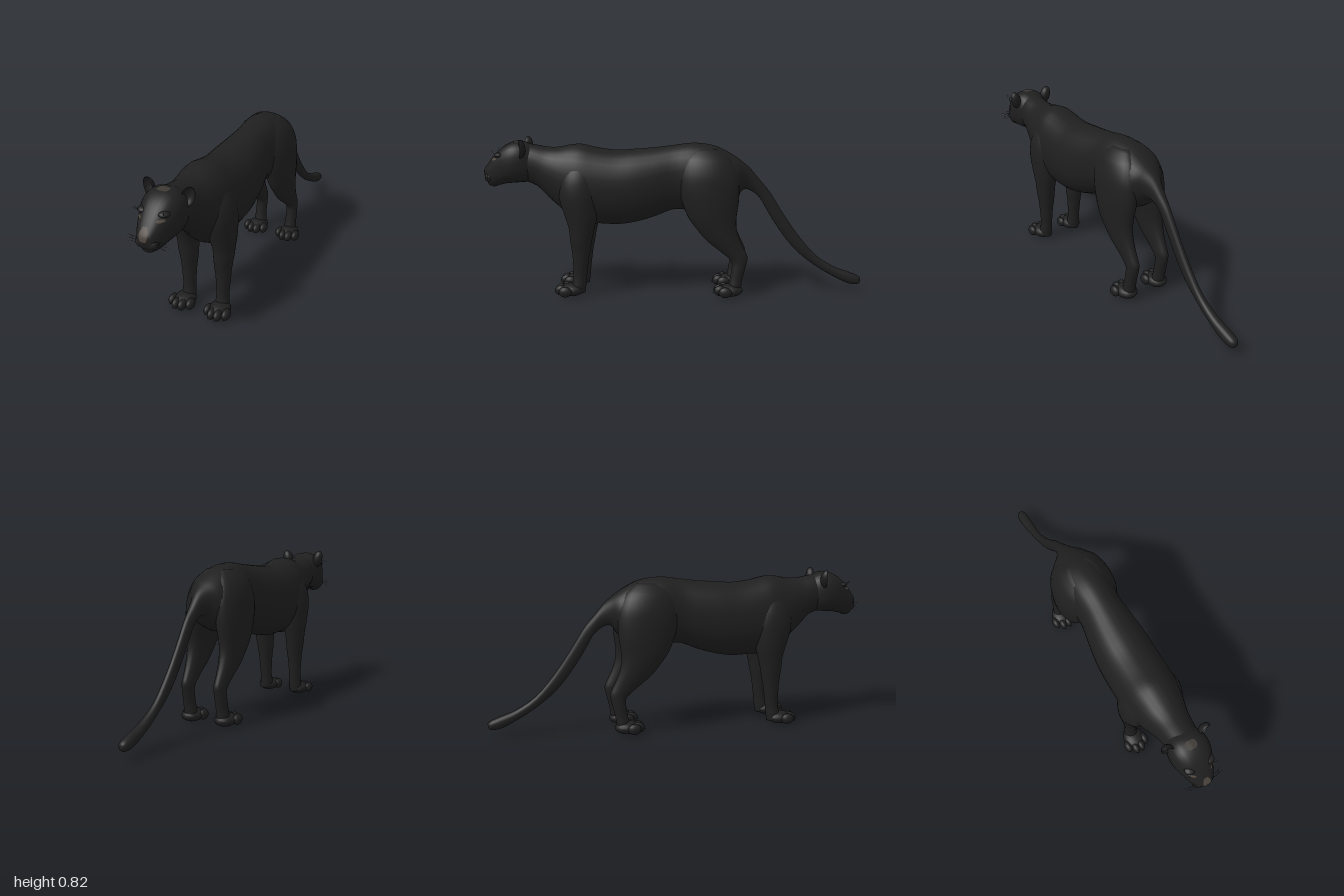
import * as THREE from 'three';

const mat = (name, color, side = THREE.FrontSide) => {
  const m = new THREE.MeshStandardMaterial({ color, side });
  m.name = name;
  return m;
};

// Smooth skin through rounded cross-sections [t, uLow, uHigh, vLow, vHigh];
// place(t, u, v) gives the point in space, power < 1 makes the sections boxier.
function loft(stations, place, power = 1, sides = 28, steps = 3) {
  const rows = [];
  const last = stations.length - 1;
  const at = i => stations[Math.max(0, Math.min(last, i))];
  for (let i = 0; i <= last; i++) {
    for (let k = 0; k < (i < last ? steps : 1); k++) {
      const t = k / steps;
      rows.push(at(i).map((b, n) => {
        const a = at(i - 1)[n], c = at(i + 1)[n], d = at(i + 2)[n];
        return b + 0.5 * t * (c - a + t * (2 * a - 5 * b + 4 * c - d + t * (3 * (b - c) + d - a)));
      }));
    }
  }
  const pos = [], index = [];
  const soft = w => Math.sign(w) * Math.abs(w) ** power;
  for (const [t, u0, u1, v0, v1] of rows) {
    for (let j = 0; j < sides; j++) {
      const a = j / sides * Math.PI * 2;
      pos.push(...place(t, (u0 + u1) / 2 + (u1 - u0) / 2 * soft(Math.cos(a)),
        (v0 + v1) / 2 + (v1 - v0) / 2 * soft(Math.sin(a))));
    }
  }
  for (let i = 0; i < rows.length - 1; i++) {
    for (let j = 0; j < sides; j++) {
      const a = i * sides + j, b = i * sides + (j + 1) % sides;
      index.push(a, b, a + sides, b, b + sides, a + sides);
    }
  }
  // Close both ends
  for (const row of [0, rows.length - 1]) {
    const [t, u0, u1, v0, v1] = rows[row], centre = pos.length / 3;
    pos.push(...place(t, (u0 + u1) / 2, (v0 + v1) / 2));
    for (let j = 0; j < sides; j++) {
      const a = row * sides + j, b = row * sides + (j + 1) % sides;
      index.push(...(row ? [a, b, centre] : [b, a, centre]));
    }
  }
  const g = new THREE.BufferGeometry();
  g.setAttribute('position', new THREE.Float32BufferAttribute(pos, 3));
  g.setIndex(index);
  g.computeVertexNormals();
  return g;
}

const alongZ = (t, u, v) => [u, v, t];
const alongY = (t, u, v) => [v, t, u];
// Symmetric section from [z, top, bottom, halfWidth]
const slice = ([z, top, bottom, w]) => [z, -w, w, bottom, top];

const BODY = [
  [-0.997, 0.07, 0.05, 0.01], [-0.98, 0.085, 0.036, 0.024], [-0.93, 0.105, 0.042, 0.028],
  [-0.85, 0.135, 0.08, 0.025], [-0.75, 0.2, 0.14, 0.02], [-0.65, 0.315, 0.22, 0.02],
  [-0.57, 0.43, 0.315, 0.02], [-0.5, 0.54, 0.42, 0.022], [-0.45, 0.6, 0.505, 0.026],
  [-0.4, 0.66, 0.545, 0.035], [-0.36, 0.695, 0.55, 0.06], [-0.32, 0.725, 0.5, 0.1],
  [-0.26, 0.76, 0.47, 0.12], [-0.2, 0.785, 0.45, 0.125], [-0.1, 0.797, 0.44, 0.123],
  [0, 0.785, 0.447, 0.115], [0.1, 0.773, 0.41, 0.13], [0.2, 0.765, 0.38, 0.143],
  [0.3, 0.76, 0.366, 0.147], [0.4, 0.772, 0.37, 0.147], [0.48, 0.79, 0.36, 0.145],
  [0.54, 0.787, 0.39, 0.135], [0.6, 0.775, 0.455, 0.12], [0.66, 0.775, 0.51, 0.1],
  [0.72, 0.785, 0.57, 0.088], [0.78, 0.795, 0.595, 0.08],
];
const HEAD = [
  [0.73, 0.775, 0.61, 0.07], [0.765, 0.795, 0.593, 0.088], [0.8, 0.805, 0.59, 0.098],
  [0.84, 0.802, 0.587, 0.099], [0.88, 0.785, 0.583, 0.089], [0.915, 0.758, 0.575, 0.075],
  [0.95, 0.72, 0.57, 0.06], [0.975, 0.688, 0.585, 0.046], [0.99, 0.668, 0.61, 0.033],
  [0.997, 0.655, 0.635, 0.012],
];
// Legs from the ground up: [y, back, front, inner, outer]
const FRONT_LEG = [
  [0.015, 0.47, 0.54, 0.065, 0.125], [0.05, 0.465, 0.54, 0.06, 0.13], [0.1, 0.46, 0.53, 0.063, 0.126],
  [0.2, 0.447, 0.532, 0.058, 0.133], [0.25, 0.437, 0.537, 0.052, 0.138], [0.3, 0.428, 0.543, 0.049, 0.146],
  [0.36, 0.415, 0.548, 0.045, 0.152], [0.42, 0.4, 0.565, 0.03, 0.16], [0.5, 0.39, 0.59, 0.02, 0.165],
  [0.56, 0.39, 0.595, 0.02, 0.163], [0.62, 0.4, 0.585, 0.02, 0.152], [0.68, 0.415, 0.565, 0.02, 0.125],
  [0.74, 0.44, 0.54, 0.02, 0.085], [0.77, 0.47, 0.51, 0.03, 0.05],
];
const HIND_LEG = [
  [0.015, -0.345, -0.29, 0.065, 0.125], [0.05, -0.352, -0.285, 0.06, 0.13], [0.09, -0.358, -0.292, 0.065, 0.126],
  [0.14, -0.37, -0.3, 0.065, 0.125], [0.18, -0.38, -0.3, 0.065, 0.123], [0.21, -0.383, -0.275, 0.063, 0.124],
  [0.25, -0.365, -0.225, 0.06, 0.128], [0.3, -0.342, -0.165, 0.053, 0.137], [0.36, -0.324, -0.115, 0.045, 0.146],
  [0.42, -0.322, -0.072, 0.035, 0.153], [0.5, -0.333, -0.04, 0.02, 0.158], [0.58, -0.335, -0.02, 0.01, 0.157],
  [0.65, -0.325, -0.02, 0, 0.148], [0.72, -0.29, -0.04, 0, 0.12], [0.77, -0.23, -0.08, 0.01, 0.07],
];

export function createModel() {
  const model = new THREE.Group();
  model.name = 'bigCat';
  const fur = mat('black fur', 0x1f1f1f);
  const earFur = mat('ear fur', 0x1d1d1d, THREE.DoubleSide);
  const noseSkin = mat('nose brown', 0x4c443d);
  const eyeColor = mat('eye brown', 0x51483d);
  const crownColor = mat('crown grey brown', 0x3b3833);
  const clawColor = mat('claw dark', 0x2b2825);
  const whiskerColor = mat('whisker grey', 0x343434);

  const add = (name, geometry, material, parent = model) => {
    const m = new THREE.Mesh(geometry, material);
    m.name = name;
    parent.add(m);
    return m;
  };
  const blob = (name, p, r, parent = model, material = fur) =>
    add(name, new THREE.SphereGeometry(1, 16, 12).scale(...r).translate(...p), material, parent);

  add('bodyAndTail', loft(BODY.map(slice), alongZ, 0.93), fur);

  // Head, muzzle and chin
  const head = new THREE.Group();
  head.name = 'head';
  model.add(head);
  add('skull', loft(HEAD.map(slice), alongZ, 0.8), fur, head);
  blob('chin', [0, 0.59, 0.948], [0.036, 0.025, 0.034], head);
  for (const s of [1, -1]) {
    blob('muzzlePad', [s * 0.026, 0.618, 0.963], [0.03, 0.028, 0.028], head);
    blob('brow', [s * 0.05, 0.736, 0.905], [0.028, 0.014, 0.026], head);
  }

  // Thin patch laid on the head, seen from the front or from above
  head.updateMatrixWorld(true);
  const targets = [...head.children];
  const ray = new THREE.Raycaster();
  function drape(name, material, [cx, cy], w, h, width, above) {
    const g = new THREE.PlaneGeometry(1, 1, 8, 8), p = g.attributes.position;
    for (let i = 0; i < p.count; i++) {
      const v = p.getY(i), x = cx + p.getX(i) * w * width(v + 0.5), y = cy + v * h * (above ? -1 : 1);
      if (above) ray.set(new THREE.Vector3(x, 2, y), new THREE.Vector3(0, -1, 0));
      else ray.set(new THREE.Vector3(x, y, 2), new THREE.Vector3(0, 0, -1));
      const hit = ray.intersectObjects(targets, false)[0];
      const q = hit ? hit.point.addScaledVector(hit.face.normal, 0.002) : new THREE.Vector3(x, y, 0.9);
      p.setXYZ(i, q.x, q.y, q.z);
    }
    g.computeVertexNormals();
    add(name, g, material, head);
  }
  const oval = v => Math.sqrt(Math.max(0, 1 - (2 * v - 1) ** 2));
  drape('nosePatch', noseSkin, [0, 0.665], 0.042, 0.06, v => 0.45 + 0.55 * Math.sin(Math.PI * Math.min(1, v * 0.9 + 0.1)));
  drape('crownPatch', crownColor, [0, 0.82], 0.058, 0.042, v => 0.5 + 0.5 * oval(v), true);

  for (const s of [1, -1]) {
    drape('eye', eyeColor, [s * 0.052, 0.715], 0.028, 0.014, oval);

    // Cupped ear, open to the front
    const cup = new THREE.SphereGeometry(1, 20, 8, 0, Math.PI * 2, 0, Math.PI / 2)
      .rotateX(-Math.PI / 2).scale(0.03, 0.05, 0.032);
    const ear = add('ear', cup, earFur, head);
    ear.position.set(s * 0.099, 0.771, 0.79);
    ear.rotation.set(0, s * 0.25, -s * 0.3);

    // Whiskers on the muzzle and above the eye
    const whisker = (a, b, c) => add('whisker', new THREE.TubeGeometry(new THREE.QuadraticBezierCurve3(
      ...[a, b, c].map(([x, y, z]) => new THREE.Vector3(s * x, y, z))), 6, 0.0006, 3), whiskerColor, head);
    for (let i = 0; i < 6; i++) {
      const y = 0.605 + i * 0.006, z = 0.965 + (i % 2) * 0.012;
      whisker([0.035, y, z], [0.07, y + 0.012, z + 0.01], [0.085 + (i % 3) * 0.007, y - 0.012 + i * 0.003, z - 0.008]);
    }
    for (let i = 0; i < 3; i++) {
      whisker([0.055, 0.735, 0.92], [0.068, 0.75, 0.935], [0.072 + i * 0.008, 0.765 - i * 0.008, 0.94]);
    }

    // Legs and paws
    for (const [name, rows, z0] of [['front', FRONT_LEG, 0.625], ['hind', HIND_LEG, -0.21]]) {
      const leg = new THREE.Group();
      leg.name = name + 'Leg';
      model.add(leg);
      add(name + 'Limb', loft(rows.map(([y, a, b, i, o]) => s > 0 ? [y, a, b, i, o] : [y, a, b, -o, -i]), alongY), fur, leg);
      blob(name + 'Paw', [s * 0.098, 0.03, z0 - 0.085], [0.054, 0.034, 0.066], leg);
      for (let i = 0; i < 4; i++) {
        const off = (i - 1.5) * 0.033, x = s * (0.1 + off);
        const z = z0 - 0.032 - (i === 0 || i === 3 ? 0.024 : 0);
        blob('toe', [x, 0.03, z], [0.02, 0.028, 0.034], leg);
        const claw = new THREE.ConeGeometry(0.005, 0.024, 6).rotateX(Math.PI * 0.68).translate(x, 0.022, z + 0.032);
        add('claw', claw, clawColor, leg);
      }
    }
  }
  return model;
}
